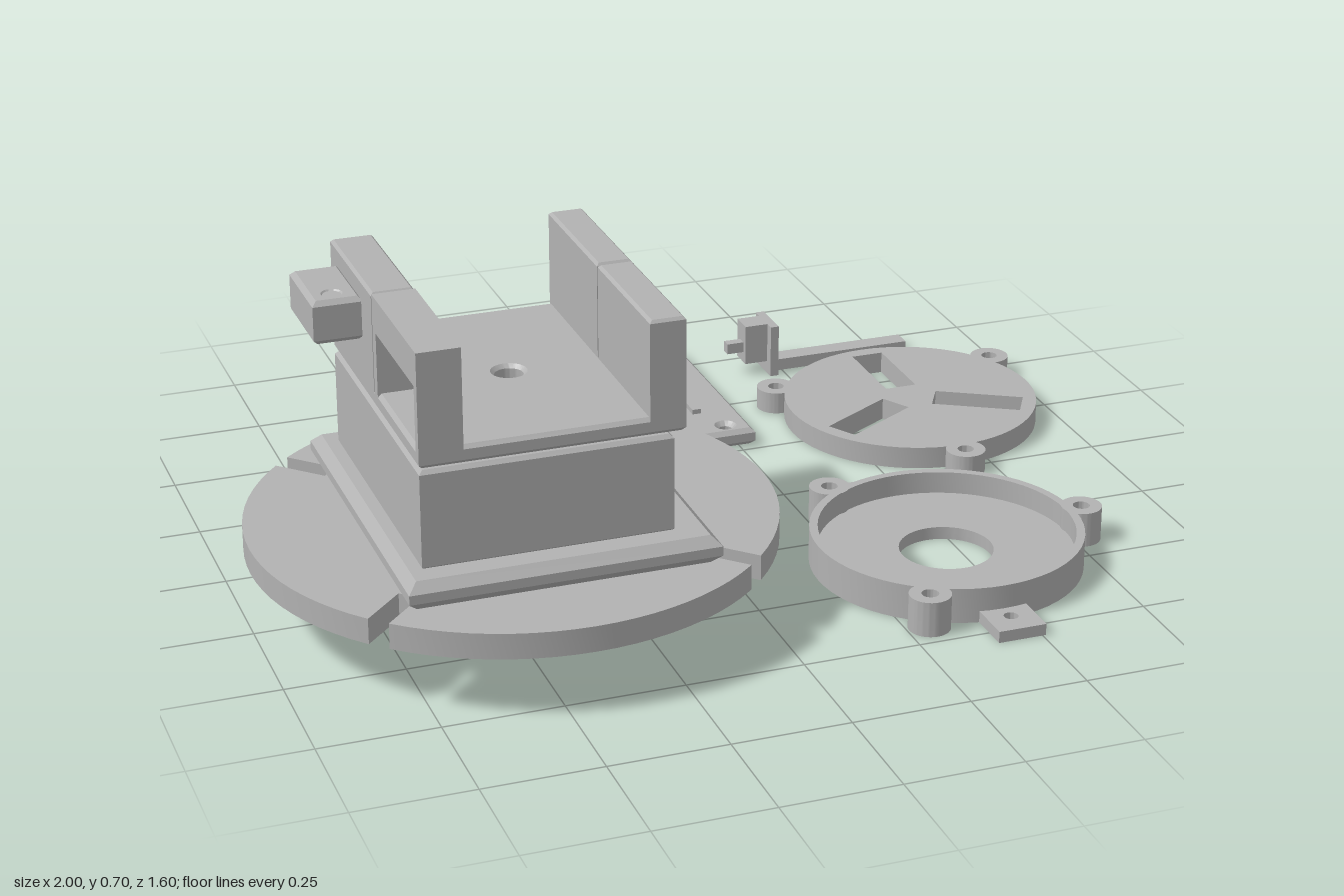
import * as THREE from 'three';
import { toCreasedNormals } from 'three/addons/utils/BufferGeometryUtils.js';

const grey = new THREE.MeshStandardMaterial({ color: 0xb2b2b2 });
grey.name = 'plain grey';

// Plan outlines use (x, z) coordinates
function circle(x, z, r, Type = THREE.Path) {
  const p = new Type();
  p.absarc(x, z, r, 0, Math.PI * 2, false);
  return p;
}
function poly(points, Type = THREE.Path) {
  return new Type(points.map(([x, z]) => new THREE.Vector2(x, z)));
}
function rect(x0, x1, z0, z1, Type = THREE.Path) {
  return poly([[x0, z0], [x1, z0], [x1, z1], [x0, z1]], Type);
}
const disc = (x, z, r) => circle(x, z, r, THREE.Shape);
const slab = (x0, x1, z0, z1) => rect(x0, x1, z0, z1, THREE.Shape);

// Raise a plan outline from y0 to y1, with optional chamfer and holes
function raise(group, name, shape, y0, y1, { holes = [], bevel = 0, segments = 32 } = {}) {
  shape.holes.push(...holes);
  const g = new THREE.ExtrudeGeometry(shape, {
    depth: y1 - y0 - 2 * bevel, curveSegments: segments,
    bevelEnabled: bevel > 0, bevelThickness: bevel, bevelSize: bevel,
    bevelOffset: -bevel, bevelSegments: 1,
  });
  g.rotateX(Math.PI / 2);
  g.translate(0, y1 - bevel, 0);
  const mesh = new THREE.Mesh(toCreasedNormals(g, 0.5), grey);
  mesh.name = name;
  group.add(mesh);
  return mesh;
}

function subgroup(parent, name) {
  const g = new THREE.Group();
  g.name = name;
  parent.add(g);
  return g;
}

// Round disc with four slots open at the rim, on a drilled hub
function addTurntable(root) {
  const g = subgroup(root, 'turntable');
  const cx = -0.45, cz = 0.25, R = 0.55, w = 0.023, depth = 0.12;
  const pts = [];
  for (let q = 0; q < 4; q++) {
    const a = Math.PI / 4 + q * Math.PI / 2;
    const c = Math.cos(a), s = Math.sin(a), half = Math.asin(w / R);
    for (const [r, t] of [[R * Math.cos(half), -w], [R - depth, -w], [R - depth, w]]) {
      pts.push([cx + r * c - t * s, cz + r * s + t * c]);
    }
    for (let i = 0; i <= 20; i++) {
      const b = a + half + (Math.PI / 2 - 2 * half) * (i / 20);
      if (i < 20) pts.push([cx + R * Math.cos(b), cz + R * Math.sin(b)]);
    }
  }
  raise(g, 'slotted disc', poly(pts, THREE.Shape), 0.135, 0.19,
    { holes: [circle(cx, cz, 0.03), circle(-0.68, 0.23, 0.033)] });

  const drill = [circle(cx, cz, 0.03)];
  for (let i = 0; i < 4; i++) {
    const a = i * Math.PI / 2;
    drill.push(circle(cx + 0.06 * Math.cos(a), cz + 0.06 * Math.sin(a), 0.012));
  }
  raise(g, 'hub', disc(cx, cz, 0.115), 0.015, 0.135, { holes: drill });
  raise(g, 'hub rim', disc(cx, cz, 0.115), 0, 0.015, { holes: [circle(cx, cz, 0.088)] });
}

// Chamfered plinth, body block and open cradle with a side knob
function addHousing(root) {
  const g = subgroup(root, 'housing');
  const bore = () => [circle(-0.45, 0.25, 0.03)];
  raise(g, 'plinth', slab(-0.775, -0.13, -0.135, 0.635), 0.19, 0.25, { bevel: 0.02, holes: bore() });
  raise(g, 'body', slab(-0.73, -0.21, -0.07, 0.57), 0.245, 0.458, { bevel: 0.008, holes: bore() });
  raise(g, 'cradle floor', slab(-0.73, -0.185, -0.07, 0.57), 0.462, 0.5, { bevel: 0.008, holes: bore() });

  for (const [z0, z1] of [[-0.07, 0.248], [0.252, 0.57]]) {
    raise(g, 'left cradle wall', slab(-0.26, -0.185, z0, z1), 0.468, 0.705, { bevel: 0.006 });
  }
  raise(g, 'right cradle wall', slab(-0.73, -0.64, -0.07, 0.248), 0.468, 0.705, { bevel: 0.006 });
  // Front half of the right wall, with a window through it
  raise(g, 'window lintel', slab(-0.73, -0.64, 0.252, 0.57), 0.63, 0.705);
  raise(g, 'window front post', slab(-0.73, -0.64, 0.55, 0.57), 0.475, 0.63);
  raise(g, 'window rear post', slab(-0.73, -0.64, 0.252, 0.275), 0.475, 0.63);

  raise(g, 'knob', slab(-0.83, -0.725, -0.02, 0.17), 0.575, 0.668,
    { bevel: 0.01, holes: [circle(-0.78, 0.13, 0.012)] });
  raise(g, 'knob screw', disc(-0.78, 0.13, 0.02), 0.59, 0.665);
}

// Rectangular cover with two raised ribs and three screw holes
function addCover(root) {
  const g = subgroup(root, 'cover');
  const screws = [[0.125, -0.765], [0.025, -0.3], [0.225, -0.3]];
  raise(g, 'cover plate', slab(-0.032, 0.283, -0.8, -0.26), 0.005, 0.045,
    { bevel: 0.01, holes: screws.map(([x, z]) => circle(x, z, 0.015)) });
  for (const x of [0.065, 0.185]) {
    raise(g, 'rib', slab(x - 0.01, x + 0.01, -0.7, -0.38), 0.04, 0.056);
  }
}

// Flat lever with a collar, block and pin
function addLever(root) {
  const g = subgroup(root, 'lever');
  raise(g, 'lever bar', slab(0.47, 0.82, -0.695, -0.65), 0, 0.028);
  raise(g, 'lever collar', slab(0.46, 0.48, -0.722, -0.622), 0, 0.125);
  raise(g, 'lever block', slab(0.405, 0.46, -0.7, -0.645), 0.03, 0.125);
  raise(g, 'lever pin', slab(0.365, 0.41, -0.683, -0.66), 0.055, 0.08);
}

// Drilled mounting ears around a centre, angles in degrees
function addEars(g, cx, cz, dist, angles, height) {
  for (const deg of angles) {
    const a = deg * Math.PI / 180;
    const x = cx + dist * Math.cos(a), z = cz + dist * Math.sin(a);
    raise(g, 'mounting ear', disc(x, z, 0.044), 0, height, { holes: [circle(x, z, 0.018)] });
  }
}

// Lid with three radial slots
function addLid(root) {
  const g = subgroup(root, 'slotted lid');
  const cx = 0.68, cz = -0.3;
  const slots = [-90, 30, 150].map((deg) => {
    const a = deg * Math.PI / 180, c = Math.cos(a), s = Math.sin(a);
    return poly([[0.055, -0.037], [0.257, -0.037], [0.257, 0.037], [0.055, 0.037]]
      .map(([r, t]) => [cx + r * c - t * s, cz + r * s + t * c]));
  });
  raise(g, 'lid disc', disc(cx, cz, 0.29), 0, 0.05, { holes: slots });
  addEars(g, cx, cz, 0.313, [-30, -150, 90], 0.05);
}

// Shallow cup with an open centre, ears and two screw tabs
function addCup(root) {
  const g = subgroup(root, 'ring cup');
  const cx = 0.455, cz = 0.415;
  raise(g, 'cup floor', disc(cx, cz, 0.28), 0, 0.028, { holes: [circle(cx, cz, 0.1)] });
  raise(g, 'cup wall', disc(cx, cz, 0.29), 0, 0.077, { holes: [circle(cx, cz, 0.272)] });
  addEars(g, cx, cz, 0.313, [0, 120, -120], 0.077);
  raise(g, 'rear tab', slab(0.325, 0.587, 0.04, 0.165), 0, 0.025,
    { holes: [circle(0.38, 0.083, 0.015), circle(0.525, 0.083, 0.015)] });
  raise(g, 'front tab', slab(0.403, 0.507, 0.68, 0.797), 0, 0.025,
    { holes: [circle(0.455, 0.74, 0.015)] });
}

export function createModel() {
  const root = new THREE.Group();
  root.name = 'turntable kit';
  addTurntable(root);
  addHousing(root);
  addCover(root);
  addLever(root);
  addLid(root);
  addCup(root);
  return root;
}
